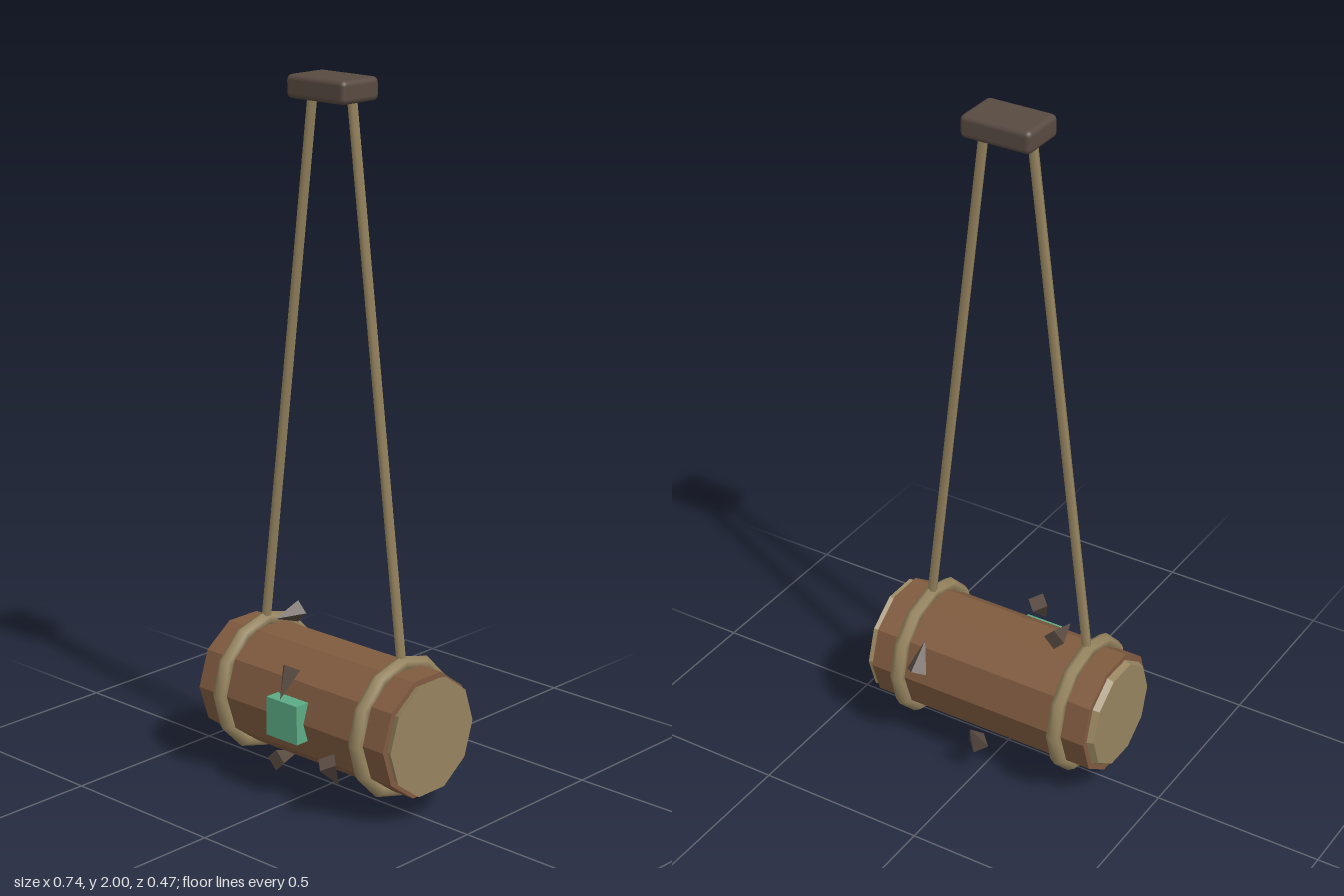
import * as THREE from 'three';
import { RoundedBoxGeometry } from 'three/addons/geometries/RoundedBoxGeometry.js';

const CY = 0.247; // height of the log axis

function material(name, color) {
  const m = new THREE.MeshStandardMaterial({ color });
  m.name = name;
  return m;
}

// Hard facets: every face keeps its own normal
function faceted(geometry) {
  const g = geometry.toNonIndexed();
  g.computeVertexNormals();
  return g;
}

export function createModel() {
  const bark = material('bark brown', 0x805b40);
  const tan = material('rope tan', 0x96845f);
  const dark = material('dark wood', 0x584a41);
  const green = material('green', 0x5bab85);

  const model = new THREE.Group();
  model.name = 'hangingSpikedLog';

  function add(name, geometry, mat, x, y, z) {
    const mesh = new THREE.Mesh(geometry, mat);
    mesh.name = name;
    mesh.position.set(x, y, z);
    model.add(mesh);
    return mesh;
  }

  // Ten-sided log lying along x
  const logGeometry = faceted(new THREE.CylinderGeometry(0.177, 0.177, 0.704, 10));
  add('log', logGeometry, bark, 0, CY, 0).rotation.z = -Math.PI / 2;

  const capGeometry = faceted(new THREE.CylinderGeometry(0.168, 0.152, 0.038, 10));
  const ringGeometry = new THREE.TorusGeometry(0.183, 0.0215, 6, 12);
  for (const side of [-1, 1]) {
    const label = side > 0 ? 'left' : 'right';

    // Cut wood end, both wider towards +x
    add(label + 'LogEnd', capGeometry, tan, side * 0.352, CY, 0).rotation.z = -Math.PI / 2;

    // Rope wound round the log
    add(label + 'RopeRing', ringGeometry, tan, side * 0.26, CY, 0).rotation.y = Math.PI / 2;

    // Slanting rope up to the top block
    const low = new THREE.Vector3(side * 0.258, 0.43, 0);
    const high = new THREE.Vector3(side * 0.07, 1.955, 0);
    const span = high.clone().sub(low);
    const ropeGeometry = new THREE.CylinderGeometry(0.014, 0.014, span.length(), 5);
    ropeGeometry.rotateY(Math.PI);
    const middle = low.clone().add(high).multiplyScalar(0.5);
    const rope = add(label + 'Rope', ropeGeometry, tan, middle.x, middle.y, 0);
    rope.rotation.z = -Math.atan2(span.x, span.y);
  }

  // Block the ropes hang from
  add('topBlock', new RoundedBoxGeometry(0.21, 0.064, 0.14, 2, 0.015), dark, 0, 1.968, 0);

  // Green patch on the front of the log
  add('greenPatch', new THREE.BoxGeometry(0.116, 0.112, 0.05), green, 0, 0.25, 0.178);

  // Six spikes lying along the circumference, in two runs of three
  const spikeGeometry = faceted(new THREE.ConeGeometry(0.032, 0.093, 4));
  for (let i = 0; i < 6; i++) {
    const a = (i * Math.PI) / 3;
    const spike = add('spike' + (i + 1), spikeGeometry, dark,
      ((i % 3) - 1) * 0.177, CY + Math.cos(a) * 0.214, Math.sin(a) * 0.214);
    spike.rotation.x = a + Math.PI / 2;
  }

  return model;
}
